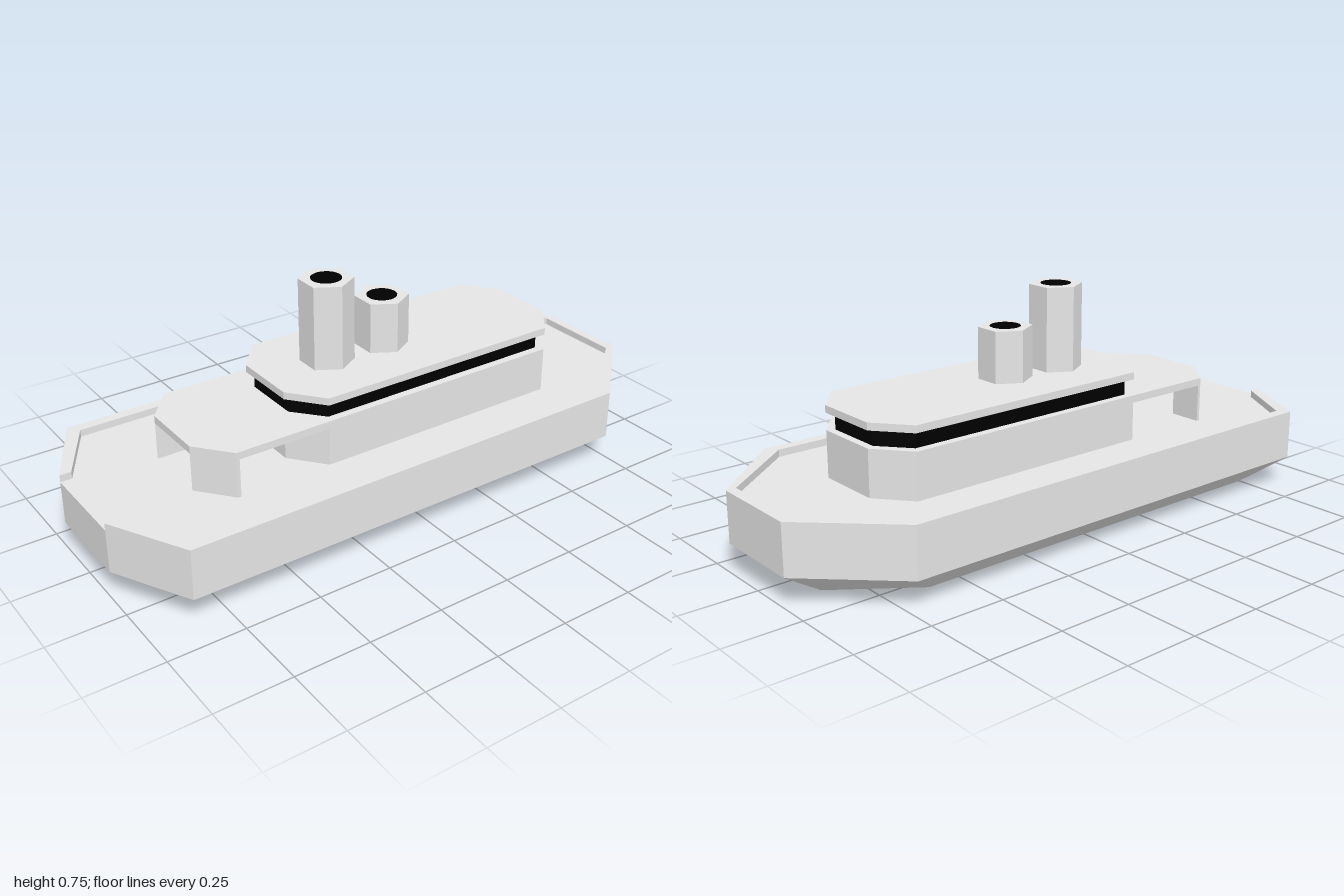
import * as THREE from 'three';

const grey = new THREE.MeshStandardMaterial({ color: 0xe5e5e5 });
grey.name = 'light grey';
const black = new THREE.MeshStandardMaterial({ color: 0x000000 });
black.name = 'black';

// Eight-sided outline as [x, z]: half widths of sides and ends, then z of each corner from bow to stern
function octagon(side, end, bow, bowCorner, sternCorner, stern) {
  const half = [[end, bow], [side, bowCorner], [side, sternCorner], [end, stern]];
  return [...half, ...half.map(([x, z]) => [-x, z]).reverse()];
}

// Upright prism over an [x, z] outline
function prism(name, outline, y0, y1, material = grey) {
  const shape = new THREE.Shape(outline.map(([x, z]) => new THREE.Vector2(x, -z)));
  const geometry = new THREE.ExtrudeGeometry(shape, { depth: y1 - y0, bevelEnabled: false });
  geometry.rotateX(-Math.PI / 2).translate(0, y0, 0);
  const mesh = new THREE.Mesh(geometry, material);
  mesh.name = name;
  return mesh;
}

// Flat-faced loft between two outlines, closed below
function loft(name, low, high, y0, y1) {
  const pos = [];
  const n = low.length;
  const a = (i) => [low[i % n][0], y0, low[i % n][1]];
  const b = (i) => [high[i % n][0], y1, high[i % n][1]];
  for (let i = 0; i < n; i++) {
    pos.push(...a(i), ...a(i + 1), ...b(i + 1), ...a(i), ...b(i + 1), ...b(i));
    if (i > 0 && i < n - 1) pos.push(...a(0), ...a(i + 1), ...a(i));
  }
  const geometry = new THREE.BufferGeometry();
  geometry.setAttribute('position', new THREE.Float32BufferAttribute(pos, 3));
  geometry.computeVertexNormals();
  const mesh = new THREE.Mesh(geometry, grey);
  mesh.name = name;
  return mesh;
}

// Six-sided funnel with a dark opening on top
function funnel(name, z, top) {
  const group = new THREE.Group();
  group.name = name;
  const base = 0.46;
  const geometry = new THREE.CylinderGeometry(0.088, 0.088, top - base, 6).toNonIndexed();
  geometry.rotateY(Math.PI / 2);
  geometry.computeVertexNormals();
  const stack = new THREE.Mesh(geometry, grey);
  stack.name = 'stack';
  stack.position.set(0, (top + base) / 2, z);
  const hole = new THREE.Mesh(new THREE.CircleGeometry(0.05, 24).rotateX(-Math.PI / 2), black);
  hole.name = 'opening';
  hole.position.set(0, top + 0.001, z);
  group.add(stack, hole);
  return group;
}

export function createModel() {
  const model = new THREE.Group();
  model.name = 'ship';

  // Hull
  const hull = octagon(0.414, 0.157, 1, 0.865, -0.73, -1);
  const keel = octagon(0.298, 0.113, 0.86, 0.75, -0.61, -0.86);
  model.add(loft('hullBottom', keel, hull, 0, 0.095));
  model.add(prism('hull', hull, 0.095, 0.238));

  // Low wall around the deck, open at the bow
  const inner = octagon(0.377, 0.157, 0.962, 0.835, -0.70, -0.967);
  model.add(prism('bulwark', [...hull, ...inner.slice().reverse()], 0.238, 0.262));

  // Main deckhouse and the canopy reaching forward from it
  model.add(prism('deckhouse', octagon(0.225, 0.112, 0.37, 0.28, -0.59, -0.682), 0.238, 0.365));
  model.add(prism('canopy', octagon(0.225, 0.112, 0.697, 0.605, -0.59, -0.682), 0.365, 0.39));

  // Wedge-shaped pillars holding up the canopy's front corners
  for (const s of [1, -1]) {
    const pillar = [[0.112, 0.697], [0.225, 0.605], [0.225, 0.594], [0.112, 0.594]];
    model.add(prism(s > 0 ? 'leftCanopyPillar' : 'rightCanopyPillar',
      pillar.map(([x, z]) => [s * x, z]), 0.238, 0.365));
  }

  // Dark window band and upper roof
  model.add(prism('windowBand', octagon(0.198, 0.1, 0.348, 0.265, -0.575, -0.657), 0.39, 0.445, black));
  model.add(prism('upperRoof', octagon(0.225, 0.112, 0.37, 0.28, -0.59, -0.682), 0.445, 0.469));

  // Funnels
  model.add(funnel('frontFunnel', 0.136, 0.749));
  model.add(funnel('rearFunnel', -0.077, 0.639));
  return model;
}
